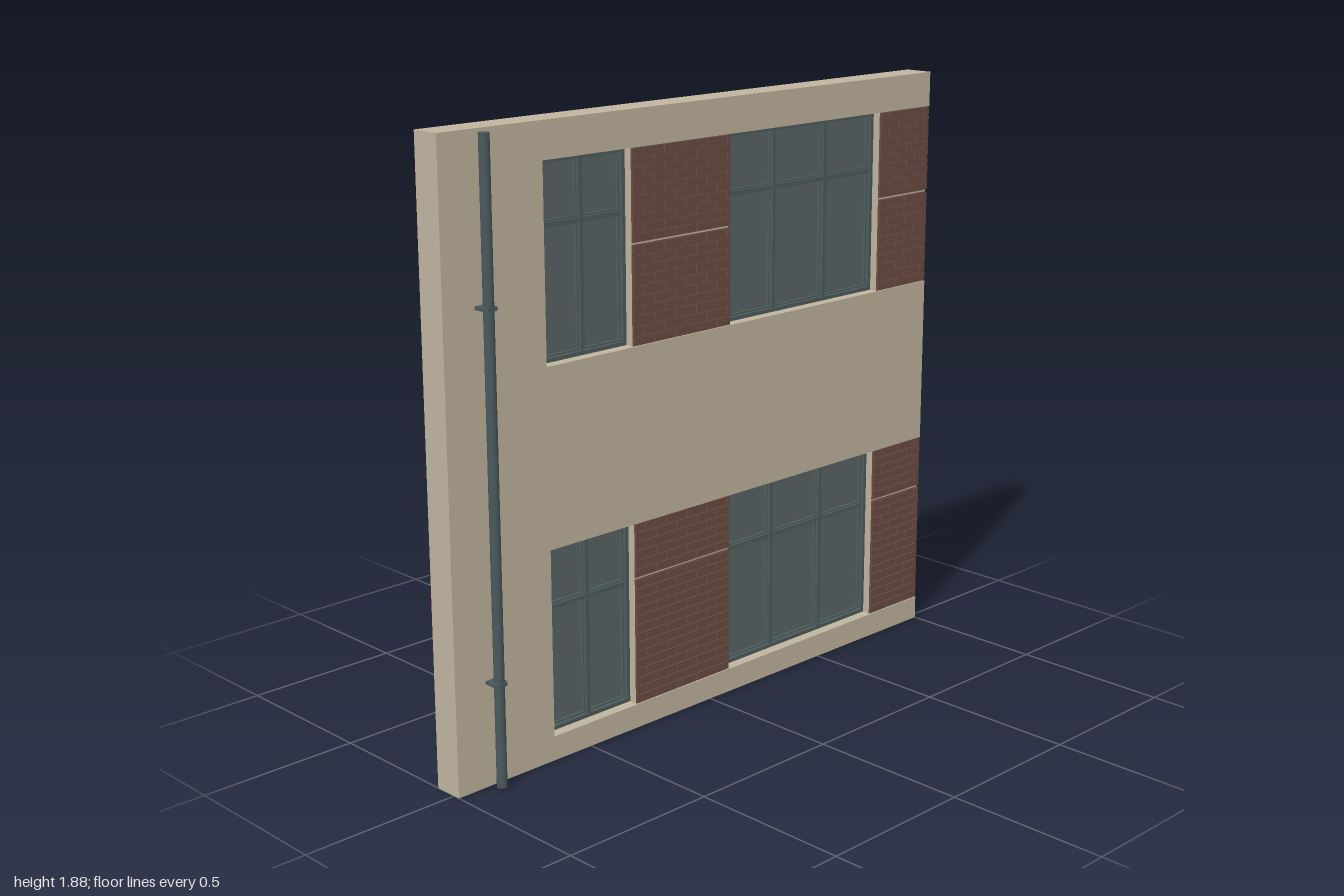
import * as THREE from 'three';
import { mergeGeometries } from 'three/addons/utils/BufferGeometryUtils.js';

const mat = (name, color) => {
  const m = new THREE.MeshStandardMaterial({ color });
  m.name = name;
  return m;
};

export function createModel() {
  const render = mat('beige render', 0xc0b49f);
  const brick = mat('red brick', 0x6b4c44);
  const frame = mat('window frame grey', 0x4e5c5c);
  const glass = mat('window glass grey', 0x596465);
  const metal = mat('pipe grey', 0x4a595d);

  const BACK = -0.0725, FRONT = 0.022, H = 1.88;
  const storeys = [
    { y0: 0.076, y1: 0.652, transom: 0.46, joint: 0.478 },
    { y0: 1.192, y1: 1.77, transom: 1.583, joint: 1.493 },
  ];
  const windows = [
    { x0: -0.643, x1: -0.31, mullions: [-0.476] },
    { x0: 0.083, x1: 0.765, mullions: [0.31, 0.54] },
  ];
  const piers = [[-0.31, 0.083], [0.765, 1]];

  const model = new THREE.Group();
  const add = (parent, name, geometry, material) => {
    const mesh = new THREE.Mesh(geometry, material);
    mesh.name = name;
    parent.add(mesh);
    return mesh;
  };
  // Box given by its limits on each axis
  const span = (x0, x1, y0, y1, z0, z1) =>
    new THREE.BoxGeometry(x1 - x0, y1 - y0, z1 - z0)
      .translate((x0 + x1) / 2, (y0 + y1) / 2, (z0 + z1) / 2);

  // Wall: one slab with a slot per storey, open at the left end
  const outline = new THREE.Shape();
  outline.moveTo(-1, 0).lineTo(1, 0);
  for (const s of storeys) {
    outline.lineTo(1, s.y0).lineTo(-0.643, s.y0).lineTo(-0.643, s.y1).lineTo(1, s.y1);
  }
  outline.lineTo(1, H).lineTo(-1, H).closePath();
  const wall = new THREE.ExtrudeGeometry(outline, { depth: FRONT - BACK, bevelEnabled: false });
  add(model, 'wall', wall.translate(0, 0, BACK), render);

  // Running-bond bricks filling a rectangle, over a thin bed
  const brickPanel = (x0, x1, y0, y1) => {
    const parts = [span(x0, x1, y0, y1, 0.013, 0.0165)];
    const rows = Math.max(1, Math.round((y1 - y0) / 0.0285));
    const h = (y1 - y0) / rows, len = 0.085, gap = 0.004;
    for (let r = 0; r < rows; r++) {
      const y = y0 + r * h;
      for (let x = x0 - (r % 2) * len / 2; x < x1 - 0.005; x += len) {
        const a = Math.max(x, x0), b = Math.min(x + len - gap, x1);
        if (b - a > 0.005) parts.push(span(a, b, y + gap / 2, y + h - gap / 2, 0.016, 0.021));
      }
    }
    return mergeGeometries(parts);
  };

  // Rectangular ring of four bars
  const ring = (x0, x1, y0, y1, t, z0, z1) => [
    span(x0, x0 + t, y0, y1, z0, z1), span(x1 - t, x1, y0, y1, z0, z1),
    span(x0 + t, x1 - t, y0, y0 + t, z0, z1), span(x0 + t, x1 - t, y1 - t, y1, z0, z1),
  ];

  storeys.forEach((s) => {
    const storey = new THREE.Group();
    storey.name = 'storey';
    model.add(storey);

    // Piers between windows, faced with two brick fields and an open joint
    for (const [x0, x1] of piers) {
      add(storey, 'pier', span(x0, x1, s.y0, s.y1, -0.05, 0.013), render);
      add(storey, 'lowerBricks', brickPanel(x0, x1, s.y0, s.joint - 0.003), brick);
      add(storey, 'upperBricks', brickPanel(x0, x1, s.joint + 0.003, s.y1), brick);
    }

    // Windows: outer frame, mullions, transom, a slim sash round each pane
    for (const w of windows) {
      const bars = ring(w.x0, w.x1, s.y0, s.y1, 0.012, -0.048, -0.012);
      for (const x of w.mullions) {
        bars.push(span(x - 0.007, x + 0.007, s.y0 + 0.012, s.y1 - 0.012, -0.048, -0.014));
      }
      bars.push(span(w.x0 + 0.012, w.x1 - 0.012, s.transom - 0.006, s.transom + 0.006, -0.05, -0.016));
      const xs = [w.x0 + 0.006, ...w.mullions, w.x1 - 0.006];
      const ys = [s.y0 + 0.006, s.transom, s.y1 - 0.006];
      for (let i = 0; i < xs.length - 1; i++) {
        for (let j = 0; j < 2; j++) {
          bars.push(...ring(xs[i] + 0.006, xs[i + 1] - 0.006, ys[j] + 0.006, ys[j + 1] - 0.006,
            0.005, -0.044, -0.024));
        }
      }
      add(storey, 'windowFrame', mergeGeometries(bars), frame);
      add(storey, 'windowGlass',
        span(w.x0 + 0.01, w.x1 - 0.01, s.y0 + 0.01, s.y1 - 0.01, -0.042, -0.034), glass);
    }
  });

  // Downpipe with two wall clamps
  const pipe = new THREE.Group();
  pipe.name = 'downpipe';
  pipe.position.set(-0.87, 0, 0.0555);
  model.add(pipe);
  const tube = new THREE.CylinderGeometry(0.0155, 0.0155, 1.868, 16).translate(0, 0.939, 0);
  add(pipe, 'pipe', tube, metal);
  const clampShape = new THREE.Shape();
  clampShape.moveTo(-0.022, 0.034).lineTo(-0.022, -0.01).lineTo(-0.014, -0.017)
    .lineTo(0.014, -0.017).lineTo(0.022, -0.01).lineTo(0.022, 0.034).closePath();
  for (const y of [0.32, 1.4]) {
    const plate = new THREE.ExtrudeGeometry(clampShape, { depth: 0.01, bevelEnabled: false });
    add(pipe, 'clamp', plate.rotateX(-Math.PI / 2).translate(0, y - 0.005, 0), metal);
  }
  return model;
}
